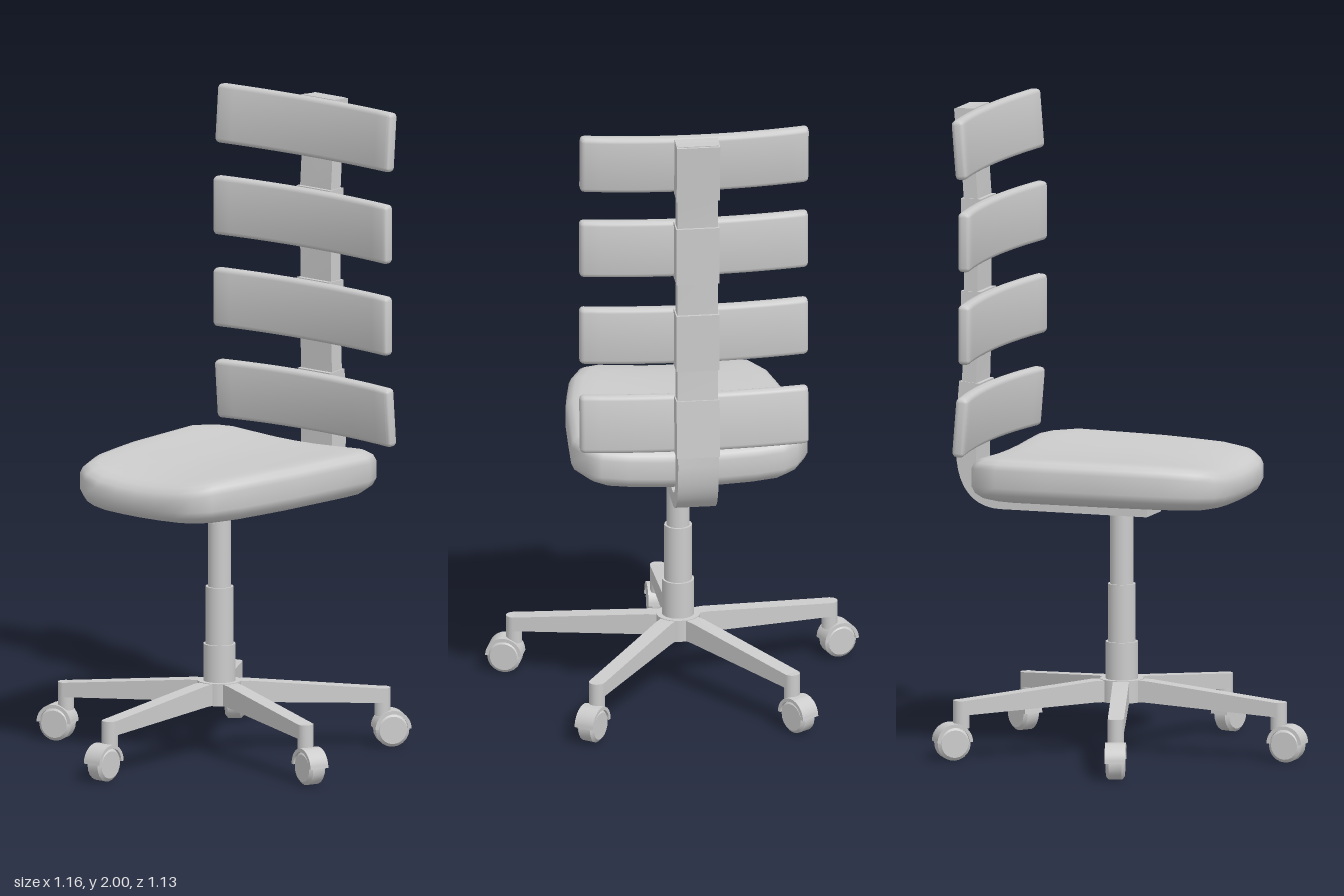
import * as THREE from 'three';
import { toCreasedNormals } from 'three/addons/utils/BufferGeometryUtils.js';

const grey = new THREE.MeshStandardMaterial({ color: 0xcccccc });
const COLUMN_Z = -0.035;

function add(parent, name, geometry, x = 0, y = 0, z = 0) {
  const mesh = new THREE.Mesh(geometry, grey);
  mesh.name = name;
  mesh.position.set(x, y, z);
  parent.add(mesh);
  return mesh;
}

// Closed skin over rings of points that run right-handed around the travel direction
function loft(rings, crease) {
  const n = rings[0].length;
  const pos = rings.flat().flatMap((p) => [p.x, p.y, p.z]);
  const index = [];
  for (let i = 0; i < rings.length - 1; i++) {
    for (let j = 0; j < n; j++) {
      const a = i * n + j, b = i * n + (j + 1) % n;
      index.push(a, b, b + n, a, b + n, a + n);
    }
  }
  [rings[0], rings[rings.length - 1]].forEach((ring, end) => {
    const c = ring.reduce((s, p) => s.add(p), new THREE.Vector3()).divideScalar(n);
    const centre = pos.length / 3, start = end ? (rings.length - 1) * n : 0;
    pos.push(c.x, c.y, c.z);
    for (let j = 0; j < n; j++) {
      const a = start + j, b = start + (j + 1) % n;
      index.push(centre, end ? a : b, end ? b : a);
    }
  });
  const g = new THREE.BufferGeometry();
  g.setAttribute('position', new THREE.Float32BufferAttribute(pos, 3));
  g.setIndex(index);
  g.computeVertexNormals();
  return crease ? toCreasedNormals(g, crease) : g;
}

// Side profile drawn as (z, y), extruded across x
function sideExtrude(shape, width) {
  const g = new THREE.ExtrudeGeometry(shape, { depth: width, bevelEnabled: false, curveSegments: 10 });
  g.translate(0, 0, -width / 2).rotateY(-Math.PI / 2);
  return toCreasedNormals(g, 0.5);
}

// Dished cushion: one outline stacked in layers of [height, inset]
function seatGeometry() {
  const half = [[0, 0.365], [0.08, 0.365], [0.16, 0.364], [0.22, 0.35], [0.27, 0.31], [0.31, 0.21],
    [0.33, 0.1], [0.346, 0], [0.357, -0.16], [0.367, -0.32], [0.328, -0.395], [0.285, -0.425],
    [0.2, -0.432], [0.1, -0.432], [0, -0.432]];
  const outline = half.concat(half.slice(1, -1).reverse().map(([x, z]) => [-x, z]));
  const layers = [[0.795, 0.3], [0.795, 0.18], [0.796, 0.06], [0.803, 0.03], [0.818, 0.01], [0.84, 0],
    [0.895, 0], [0.914, 0.008], [0.927, 0.025], [0.934, 0.05], [0.936, 0.1], [0.936, 0.18], [0.936, 0.3]];
  return loft(layers.map(([y, inset]) => outline.map(([px, pz]) => {
    const x = px * (1 - inset / 0.367);
    const z = -0.034 + (pz + 0.034) * (1 - inset / 0.399);
    const dish = 0.024 * (x / 0.367) ** 2;
    const front = Math.max(0, (z - 0.1) / 0.265) ** 2 * Math.max(0, 1 - (x / 0.32) ** 2);
    return new THREE.Vector3(x, y + dish - (y > 0.88 ? 0.025 * front : 0), z);
  })));
}

// Back slat: rounded section swept across x and bowed backwards in the middle
function slatGeometry() {
  const W = 0.355, H = 0.0925, T = 0.02, R = 0.014;
  const stations = [];
  for (let i = 0; i <= 3; i++) {
    const a = (i / 3) * Math.PI / 2;
    stations.push([-W + R * (1 - Math.sin(a)), R * (1 - Math.cos(a))]);
  }
  stations.forEach((s) => { s[1] = R - s[1]; });
  stations.reverse();
  for (let i = 1; i < 14; i++) stations.push([-W + R + (i / 14) * 2 * (W - R), 0]);
  const ends = stations.slice(0, 4).map(([x]) => {
    const d = (x + W) / R;
    return [x, R * (1 - Math.sqrt(Math.max(0, 1 - (1 - d) ** 2)))];
  }).sort((a, b) => a[0] - b[0]);
  const all = [...ends, ...stations.slice(4), ...ends.map(([x, s]) => [-x, s]).reverse()];
  return loft(all.map(([x, inset]) => {
    const ring = [];
    for (let c = 0; c < 4; c++) {
      const sy = c === 0 || c === 3 ? 1 : -1, sz = c < 2 ? 1 : -1;
      for (let k = 0; k <= 3; k++) {
        const a = (c + k / 3) * Math.PI / 2, r = R - inset * 0.95;
        ring.push(new THREE.Vector3(x,
          sy * (H - R) + r * Math.cos(a),
          sz * (T - R) + r * Math.sin(a) + 0.03 * (x / W) ** 2));
      }
    }
    return ring;
  }), 0.7);
}

// Leg with its caster, pointing along +z
function makeLeg() {
  const leg = new THREE.Group();
  leg.name = 'baseLeg';
  const beam = new THREE.Shape([[0, 0.165], [0.09, 0.165], [0.515, 0.142], [0.515, 0.187], [0.09, 0.232], [0, 0.232]]
    .map(([z, y]) => new THREE.Vector2(z, y)));
  add(leg, 'legBeam', sideExtrude(beam, 0.05));
  add(leg, 'casterPivot', new THREE.CylinderGeometry(0.025, 0.025, 0.087, 16), 0, 0.1435, 0.515);

  // Wheel lies on its side so that it rolls along the leg direction
  const wheel = new THREE.LatheGeometry([[0, -0.029], [0.043, -0.029], [0.053, -0.02], [0.053, 0.02], [0.043, 0.029], [0, 0.029]]
    .map(([r, y]) => new THREE.Vector2(r, y)), 20).rotateZ(Math.PI / 2);
  add(leg, 'casterWheel', toCreasedNormals(wheel, 0.5), 0, 0.055, 0.543);
  const hood = new THREE.Shape();
  hood.absarc(0, 0, 0.057, 0, Math.PI, false);
  hood.absarc(0, 0, 0.046, Math.PI, 0, true);
  add(leg, 'casterHood', sideExtrude(hood, 0.064), 0, 0.06, 0.543);
  return leg;
}

export function createModel() {
  const chair = new THREE.Group();
  chair.name = 'officeChair';

  // Five-legged base
  const base = new THREE.Group();
  base.name = 'base';
  base.position.z = COLUMN_Z;
  chair.add(base);
  for (let i = 0; i < 5; i++) {
    const leg = makeLeg();
    leg.rotation.y = (i * 2 * Math.PI) / 5;
    base.add(leg);
  }
  add(base, 'hub', new THREE.CylinderGeometry(0.068, 0.068, 0.07, 20), 0, 0.199, 0);

  // Telescopic column: [radius, bottom, top]
  [[0.05, 0.2, 0.35], [0.043, 0.35, 0.53], [0.036, 0.53, 0.77]].forEach(([r, y0, y1]) =>
    add(base, 'columnStage', new THREE.CylinderGeometry(r, r, y1 - y0, 24), 0, (y0 + y1) / 2, 0));

  add(chair, 'seat', seatGeometry());

  // Bent bar running under the seat and up the back
  const bar = new THREE.Shape();
  bar.moveTo(0.07, 0.75);
  bar.lineTo(0.07, 0.797);
  bar.lineTo(-0.4, 0.793);
  bar.bezierCurveTo(-0.46, 0.793, -0.49, 0.83, -0.49, 0.9);
  [[-0.49, 1.14], [-0.487, 1.24], [-0.485, 1.71], [-0.492, 1.81], [-0.5, 1.995],
    [-0.555, 1.995], [-0.537, 1.81], [-0.53, 1.7], [-0.53, 1.3], [-0.536, 1.16], [-0.556, 0.93]]
    .forEach(([z, y]) => bar.lineTo(z, y));
  bar.bezierCurveTo(-0.556, 0.81, -0.5, 0.75, -0.41, 0.75);
  add(chair, 'backBar', sideExtrude(bar, 0.126));

  // Back slats with their brackets: [height, depth, tilt]
  const slat = slatGeometry();
  [[1.045, -0.468, 0.08], [1.333, -0.455, 0], [1.622, -0.455, 0], [1.907, -0.47, -0.08]].forEach(([y, z, tilt]) => {
    const group = new THREE.Group();
    group.name = 'backSlat';
    group.position.set(0, y, z);
    group.rotation.x = tilt;
    add(group, 'slatPad', slat);
    add(group, 'slatBracket', new THREE.BoxGeometry(0.134, 0.184, 0.066), 0, 0, -0.051);
    chair.add(group);
  });

  return chair;
}
